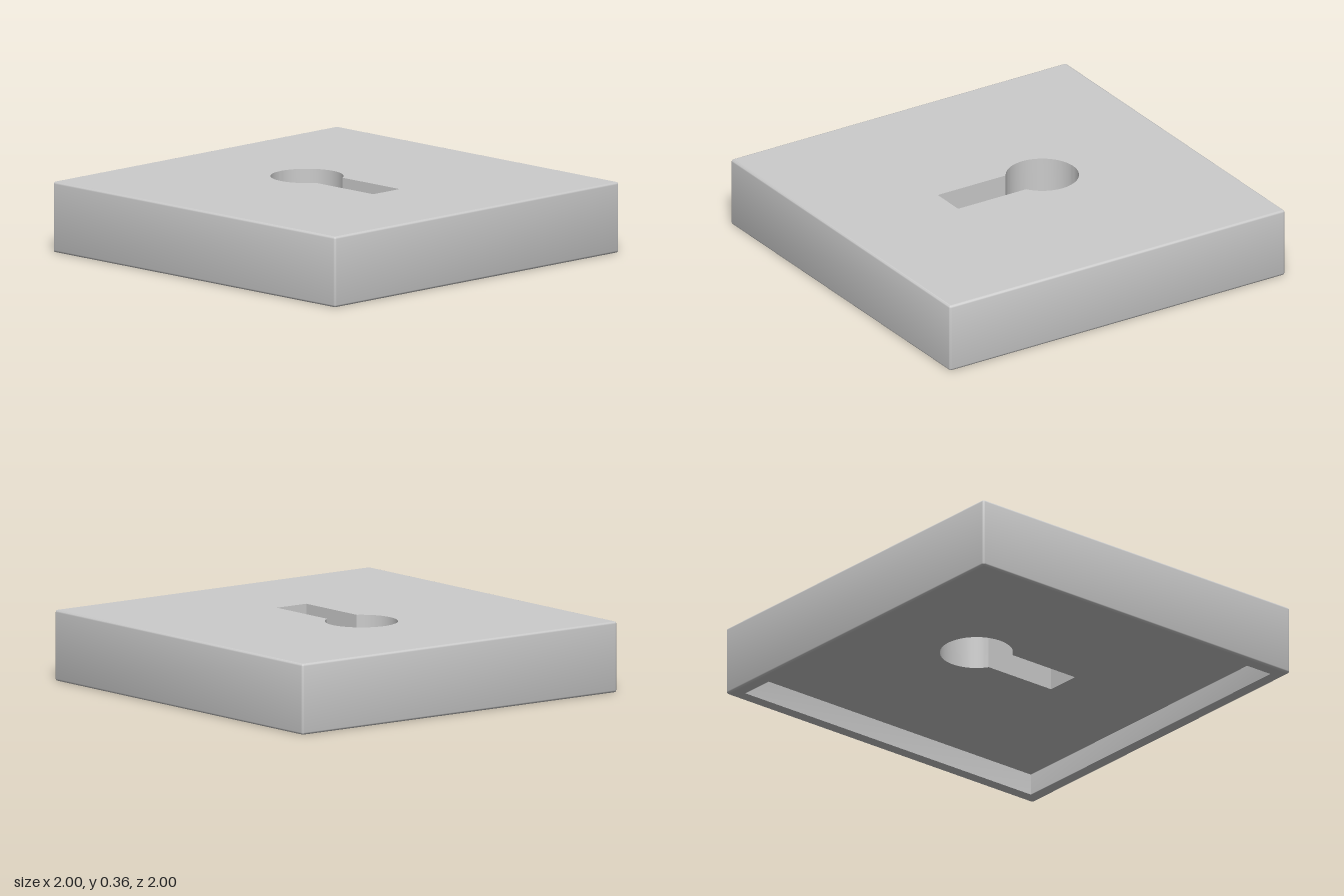
import * as THREE from 'three';
import { toCreasedNormals } from 'three/addons/utils/BufferGeometryUtils.js';

const HEIGHT = 0.36, FILLET = 0.012, CORE = 1 - FILLET;
const RIM_INNER = 0.93, RECESS = 0.11, STEPS = 3;

// Square ring of half-width h at height y, with rounded corners
function squareRing(h, y) {
  const r = Math.max(0.001, h - CORE), c = h - r, ring = [];
  for (let q = 0; q < 4; q++) {
    const mid = Math.PI / 4 + q * Math.PI / 2;
    const cx = c * Math.sign(Math.cos(mid)), cy = c * Math.sign(Math.sin(mid));
    for (let i = 0; i <= STEPS; i++) {
      const a = (q + i / STEPS) * Math.PI / 2;
      ring.push([cx + r * Math.cos(a), y, -(cy + r * Math.sin(a))]);
    }
  }
  return ring;
}

// Skin between successive rings
function loft(rings) {
  const n = rings[0].length, index = [];
  for (let k = 0; k < rings.length - 1; k++) {
    for (let j = 0; j < n; j++) {
      const a = k * n + j, b = k * n + (j + 1) % n;
      index.push(a, b, b + n, a, b + n, a + n);
    }
  }
  const geo = new THREE.BufferGeometry();
  geo.setAttribute('position', new THREE.Float32BufferAttribute(rings.flat(2), 3));
  geo.setIndex(index);
  return geo;
}

// Keyhole outline: a round head running into a straight slot
function keyholePath() {
  const r = 0.183, cy = 0.205, half = 0.093, end = -0.358;
  const a = Math.asin(half / r);
  const path = new THREE.Path();
  path.moveTo(-half, end);
  path.lineTo(half, end);
  path.absarc(0, cy, r, -Math.PI / 2 + a, Math.PI * 1.5 - a, false);
  path.lineTo(-half, end);
  return path;
}

export function createModel() {
  const group = new THREE.Group();
  group.name = 'keyholePlate';
  const material = new THREE.MeshStandardMaterial({ color: 0xcccccc });

  // Plate: top face, recessed underside and keyhole walls
  const shape = new THREE.Shape([
    new THREE.Vector2(-CORE, -CORE), new THREE.Vector2(CORE, -CORE),
    new THREE.Vector2(CORE, CORE), new THREE.Vector2(-CORE, CORE),
  ]);
  shape.holes.push(keyholePath());
  const plateGeo = new THREE.ExtrudeGeometry(shape, {
    depth: HEIGHT - RECESS, bevelEnabled: false, curveSegments: 48,
  });
  plateGeo.rotateX(-Math.PI / 2).translate(0, RECESS, 0);
  const plate = new THREE.Mesh(toCreasedNormals(plateGeo, 0.5), material);
  plate.name = 'plate';

  // Rim: inner recess wall, foot, and outer wall with small rounded edges
  const rings = [squareRing(RIM_INNER, RECESS), squareRing(RIM_INNER, 0)];
  for (const [base, start] of [[FILLET, -Math.PI / 2], [HEIGHT - FILLET, 0]]) {
    for (let i = 0; i <= STEPS; i++) {
      const a = start + (i / STEPS) * Math.PI / 2;
      rings.push(squareRing(CORE + FILLET * Math.cos(a), base + FILLET * Math.sin(a)));
    }
  }
  const rim = new THREE.Mesh(toCreasedNormals(loft(rings), 0.6), material);
  rim.name = 'rim';

  group.add(plate, rim);
  return group;
}
